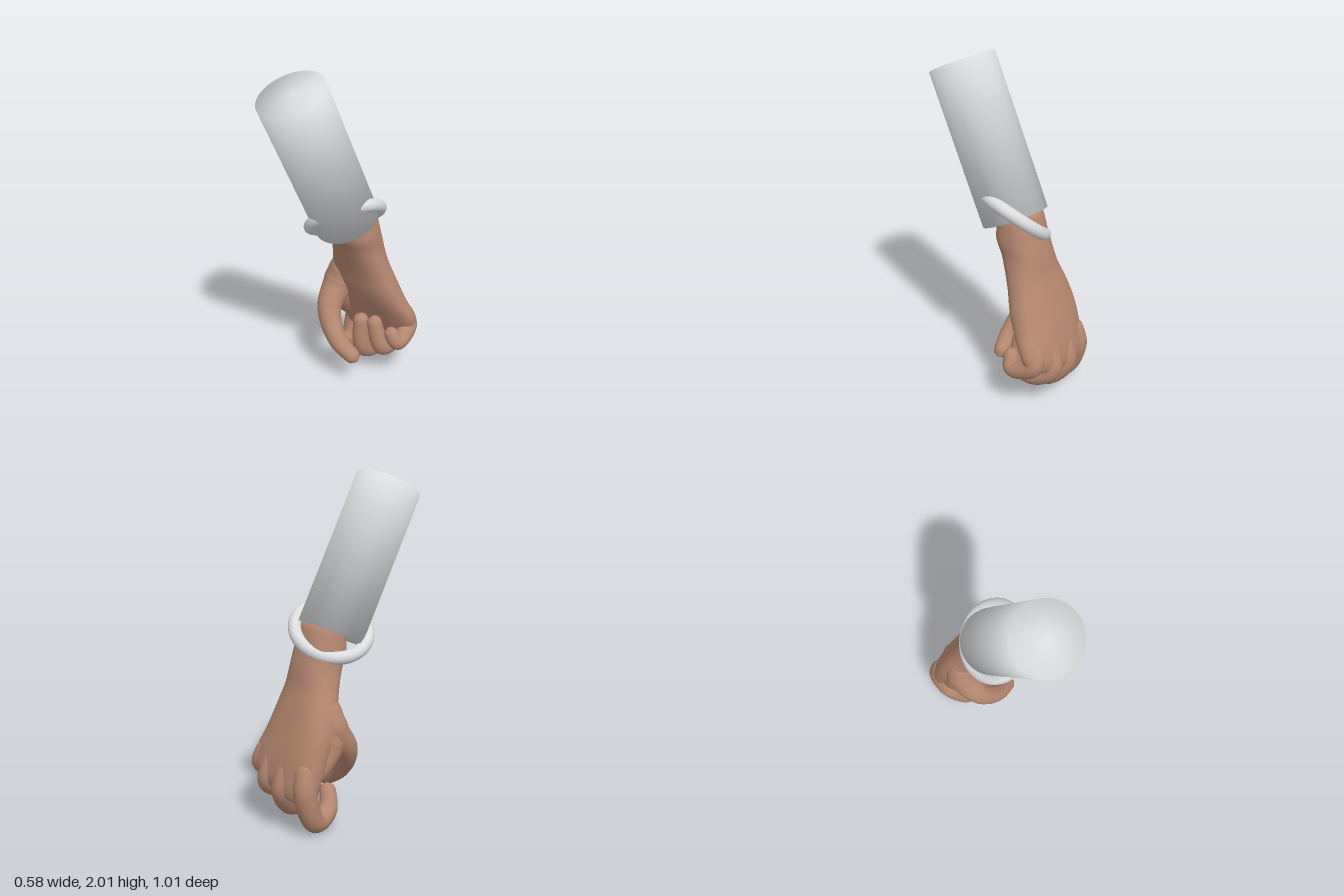
import * as THREE from 'three';

const V = (x, y, z) => new THREE.Vector3(x, y, z);

const skin = new THREE.MeshStandardMaterial({ color: 0xb4876f });
skin.name = 'skin';
const cloth = new THREE.MeshStandardMaterial({ color: 0xd9dbdd });
cloth.name = 'paleGrey';

function mesh(name, geometry, material) {
  const m = new THREE.Mesh(geometry, material);
  m.name = name;
  return m;
}

// Tapered tube with rounded ends along a smooth path
function digit(points, radii) {
  const path = new THREE.CatmullRomCurve3(points.map(p => V(...p)), false, 'centripetal');
  const n = 44, sides = 18, length = path.getLength();
  const g = new THREE.TubeGeometry(path, n, 1, sides, false);
  const pos = g.attributes.position, p = V(0, 0, 0);
  for (let i = 0; i <= n; i++) {
    const u = i / n, centre = path.getPointAt(u);
    const s = path.getUtoTmapping(u) * (radii.length - 1);
    const k = Math.min(Math.floor(s), radii.length - 2);
    let r = THREE.MathUtils.lerp(radii[k], radii[k + 1], s - k);
    const d = Math.min(u, 1 - u) * length / r;
    if (d < 1) r *= Math.max(0.02, Math.sqrt(1 - (1 - d) ** 2));
    for (let j = 0; j <= sides; j++) {
      const v = i * (sides + 1) + j;
      p.fromBufferAttribute(pos, v).sub(centre).multiplyScalar(r).add(centre);
      pos.setXYZ(v, p.x, p.y, p.z);
    }
  }
  g.computeVertexNormals();
  // Match normals along the seam
  const nor = g.attributes.normal;
  for (let i = 0; i <= n; i++) {
    const a = i * (sides + 1), b = a + sides;
    p.fromBufferAttribute(nor, a).add(V(nor.getX(b), nor.getY(b), nor.getZ(b))).normalize();
    nor.setXYZ(a, p.x, p.y, p.z);
    nor.setXYZ(b, p.x, p.y, p.z);
  }
  return g;
}

// Wrist and palm lofted from rows of [y, xMin, xMax, zMin, zMax]
function palmGeometry() {
  const rows = [
    [1.16, -0.06, 0.04, -0.15, -0.09],
    [1.14, -0.14, 0.12, -0.23, -0.03],
    [1.0, -0.165, 0.147, -0.275, -0.005],
    [0.9, -0.175, 0.148, -0.305, -0.045],
    [0.8, -0.2, 0.165, -0.325, -0.085],
    [0.7, -0.235, 0.19, -0.36, -0.12],
    [0.6, -0.262, 0.22, -0.395, -0.15],
    [0.5, -0.275, 0.242, -0.43, -0.19],
    [0.4, -0.275, 0.265, -0.46, -0.24],
    [0.3, -0.27, 0.275, -0.48, -0.29],
    [0.23, -0.235, 0.235, -0.47, -0.33],
    [0.21, -0.02, 0.02, -0.41, -0.39],
  ];
  const centres = new THREE.CatmullRomCurve3(rows.map(r => V((r[1] + r[2]) / 2, r[0], (r[3] + r[4]) / 2)));
  const halves = new THREE.CatmullRomCurve3(rows.map(r => V((r[2] - r[1]) / 2, r[0], (r[4] - r[3]) / 2)));
  centres.curveType = halves.curveType = 'catmullrom';
  centres.tension = halves.tension = 0.4;
  const n = 55, sides = 40, pos = [], index = [];
  const round = (v, e) => Math.sign(v) * Math.abs(v) ** e;
  for (let i = 0; i <= n; i++) {
    const c = centres.getPoint(i / n), h = halves.getPoint(i / n);
    // The little finger side of the knuckle line sits higher
    const slope = 0.22 * THREE.MathUtils.smoothstep(0.6 - c.y, 0, 0.35);
    for (let j = 0; j < sides; j++) {
      const a = j / sides * Math.PI * 2;
      const dx = h.x * round(Math.cos(a), 0.85);
      pos.push(c.x + dx, c.y + slope * dx, c.z + h.z * round(Math.sin(a), 0.85));
      if (i < n) {
        const k = (j + 1) % sides, p = i * sides, q = p + sides;
        index.push(p + j, p + k, q + j, p + k, q + k, q + j);
      }
    }
  }
  const g = new THREE.BufferGeometry();
  g.setAttribute('position', new THREE.Float32BufferAttribute(pos, 3));
  g.setIndex(index);
  g.computeVertexNormals();
  return g;
}

// Closed cylinder between two points, shaded softly over the rims
function sleeveGeometry(bottom, top, radius) {
  const axis = top.clone().sub(bottom);
  const g = new THREE.CylinderGeometry(radius, radius, axis.length(), 48);
  const pos = g.attributes.position, p = V(0, 0, 0);
  for (let i = 0; i < pos.count; i++) {
    p.fromBufferAttribute(pos, i);
    p.set(p.x / radius, Math.sign(p.y), p.z / radius).normalize();
    g.attributes.normal.setXYZ(i, p.x, p.y, p.z);
  }
  g.applyQuaternion(new THREE.Quaternion().setFromUnitVectors(V(0, 1, 0), axis.normalize()));
  const mid = bottom.clone().add(top).multiplyScalar(0.5);
  return g.translate(mid.x, mid.y, mid.z);
}

export function createModel() {
  const model = new THREE.Group();
  model.name = 'forearmAndHand';

  model.add(mesh('sleeve', sleeveGeometry(V(-0.022, 1.083, -0.078), V(-0.053, 1.915, 0.328), 0.195), cloth));

  // Loose bangle tilted around the wrist
  const bangle = mesh('bangle', new THREE.TorusGeometry(0.212, 0.038, 20, 64), cloth);
  bangle.position.set(-0.02, 1.1, -0.067);
  bangle.quaternion.setFromUnitVectors(V(0, 0, 1), V(-0.57, 0.78, -0.25).normalize());
  model.add(bangle);

  const hand = new THREE.Group();
  hand.name = 'hand';
  model.add(hand);
  hand.add(mesh('wristAndPalm', palmGeometry(), skin));

  // Curled fingers: palm root, knuckle, middle joint, end joint, tip
  const fingers = {
    indexFinger: [[[-0.19, 0.42, -0.37], [-0.215, 0.25, -0.405], [-0.205, 0.06, -0.33], [-0.165, 0.09, -0.21], [-0.095, 0.225, -0.16]],
      [0.06, 0.068, 0.062, 0.056, 0.045]],
    middleFinger: [[[-0.06, 0.4, -0.39], [-0.05, 0.23, -0.435], [-0.005, 0.11, -0.34], [0.0, 0.15, -0.22], [-0.005, 0.4, -0.2]],
      [0.06, 0.07, 0.064, 0.058, 0.046]],
    ringFinger: [[[0.075, 0.42, -0.39], [0.095, 0.25, -0.435], [0.13, 0.185, -0.345], [0.135, 0.2, -0.24], [0.085, 0.41, -0.21]],
      [0.06, 0.067, 0.062, 0.056, 0.046]],
    littleFinger: [[[0.18, 0.45, -0.37], [0.215, 0.32, -0.4], [0.235, 0.27, -0.33], [0.24, 0.26, -0.26], [0.195, 0.36, -0.225]],
      [0.055, 0.062, 0.055, 0.05, 0.04]],
  };
  for (const [name, [points, radii]] of Object.entries(fingers)) {
    hand.add(mesh(name, digit(points, radii), skin));
  }

  // Thumb crossing in front of the fingers, with its fleshy base
  hand.add(mesh('thumb', digit(
    [[-0.13, 0.76, -0.22], [-0.18, 0.58, -0.2], [-0.165, 0.43, -0.085], [-0.05, 0.27, -0.03], [0.1, 0.16, -0.05]],
    [0.08, 0.1, 0.075, 0.058, 0.046]), skin));
  // Web of flesh between thumb and index finger
  hand.add(mesh('thumbWeb', digit(
    [[-0.18, 0.66, -0.25], [-0.19, 0.5, -0.22], [-0.2, 0.38, -0.29], [-0.2, 0.3, -0.36]],
    [0.08, 0.09, 0.07, 0.05]), skin));
  return model;
}
